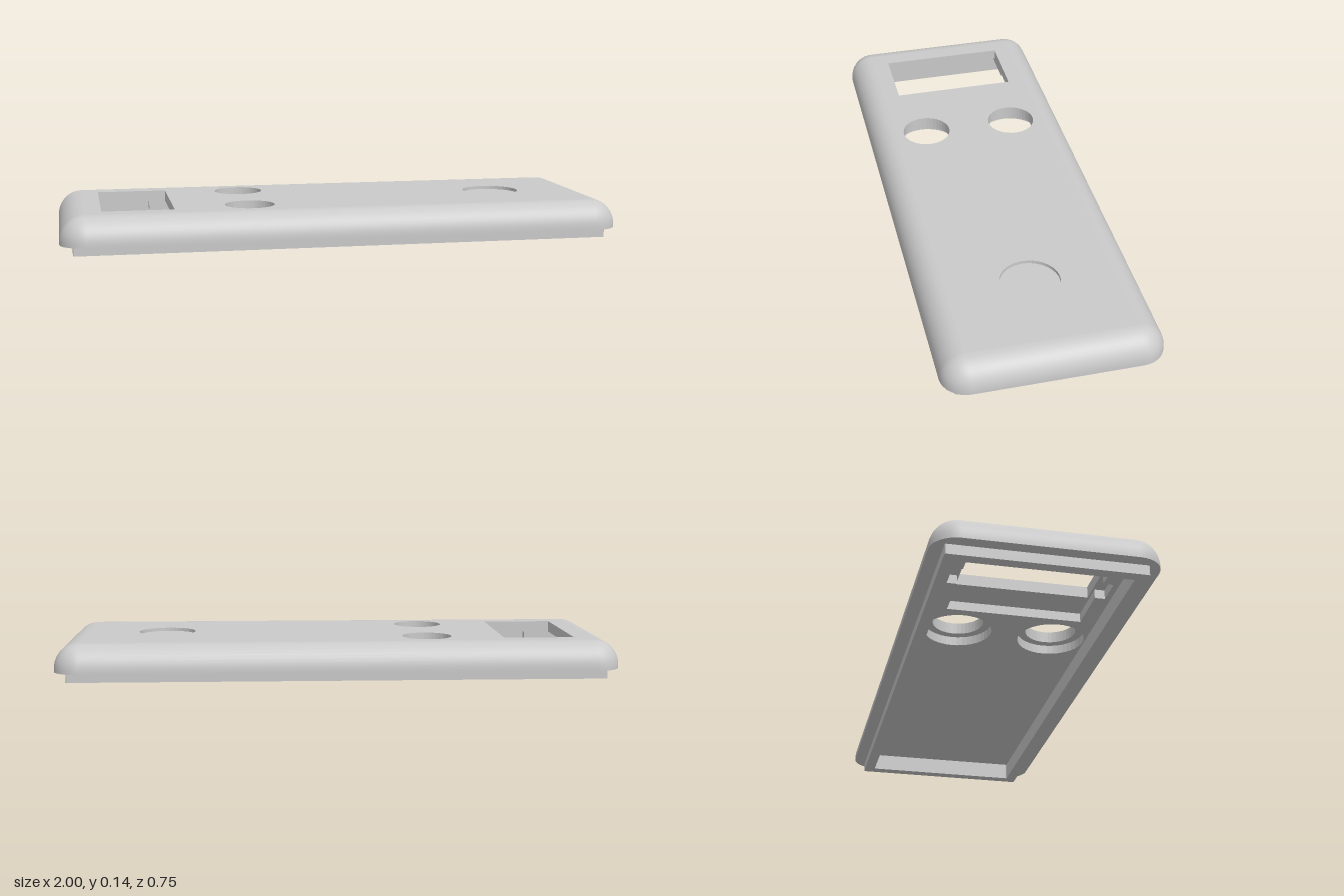
import * as THREE from 'three';

const X = 1, Z = 0.375, R = 0.09;          // half length, half width, edge radius
const RIM = 0.035, CEIL = 0.063, POCKET = 0.095, RECESS = 0.123, TOP = 0.135;

const v = (x, y) => new THREE.Vector2(x, y);

// Plan outlines: rounded rectangle, rectangle, circle
function rounded(hx, hz, r, n = 8) {
  const pts = [];
  [[1, 1], [-1, 1], [-1, -1], [1, -1]].forEach(([sx, sz], q) => {
    for (let i = 0; i <= n; i++) {
      const a = (q + i / n) * Math.PI / 2;
      pts.push(v(sx * (hx - r) + r * Math.cos(a), sz * (hz - r) + r * Math.sin(a)));
    }
  });
  return pts;
}
const rect = (x0, x1, hz) => [v(x0, -hz), v(x1, -hz), v(x1, hz), v(x0, hz)];
function circle(x, z, r, n = 40) {
  return Array.from({ length: n }, (_, i) => {
    const a = i / n * Math.PI * 2;
    return v(x + r * Math.cos(a), z + r * Math.sin(a));
  });
}

// Flat face with holes, looking up or down
function face(pts, holes, y, up) {
  const s = new THREE.Shape(pts);
  holes.forEach(h => s.holes.push(new THREE.Path(h)));
  const g = new THREE.ShapeGeometry(s);
  g.rotateX(up ? -Math.PI / 2 : Math.PI / 2);
  return g.translate(0, y, 0);
}

// Skin lofted through rings of points, each ring at its own height
function loft(rings, closedSmooth) {
  const pos = [], index = [], n = rings[0].pts.length;
  rings.forEach(({ pts, y }) => pts.forEach(p => pos.push(p.x, y, p.y)));
  for (let j = 0; j < rings.length - 1; j++) {
    for (let i = 0; i < n; i++) {
      const a = j * n + i, b = j * n + (i + 1) % n;
      index.push(a, a + n, b, b, a + n, b + n);
    }
  }
  let g = new THREE.BufferGeometry();
  g.setAttribute('position', new THREE.Float32BufferAttribute(pos, 3));
  g.setIndex(index);
  if (!closedSmooth) g = g.toNonIndexed();
  g.computeVertexNormals();
  return g;
}

// Upright wall facing outwards, or inwards for the side of an opening
function wall(pts, y0, y1, inward) {
  const low = { pts, y: y0 }, high = { pts, y: y1 };
  return loft(inward ? [high, low] : [low, high], false);
}

export function createModel() {
  const model = new THREE.Group();
  const grey = new THREE.MeshStandardMaterial({ color: 0xcacaca, side: THREE.DoubleSide });
  grey.name = 'grey plastic';
  const add = (name, geometry) => {
    const m = new THREE.Mesh(geometry, grey);
    m.name = name;
    model.add(m);
  };

  // Rounded outer skin
  const rings = [{ pts: rounded(X, Z, R), y: RIM }];
  for (let i = 0; i <= 10; i++) {
    const a = i / 10 * Math.PI / 2, inset = (R - 0.005) * (1 - Math.cos(a));
    rings.push({ pts: rounded(X - inset, Z - inset, R - inset), y: TOP - R + R * Math.sin(a) });
  }
  add('roundedSkin', loft(rings, true));

  // Openings through the top and the wider pockets beneath them
  const window = rect(-0.853, -0.6, 0.228);
  const holes = [0.168, -0.168].map(z => circle(-0.327, z, 0.089));
  const bores = [0.168, -0.168].map(z => circle(-0.327, z, 0.118));
  const pocket = [v(-0.905, -0.235), v(-0.76, -0.235), v(-0.76, -0.27), v(-0.66, -0.27),
    v(-0.66, -0.235), v(-0.48, -0.235), v(-0.48, 0.235), v(-0.66, 0.235),
    v(-0.66, 0.27), v(-0.76, 0.27), v(-0.76, 0.235), v(-0.905, 0.235)];
  const recess = circle(0.622, 0, 0.104);

  // Top face with the shallow round recess
  add('topFace', face(rounded(X - 0.085, Z - 0.085, 0.005), [window, ...holes, recess], TOP, true));
  add('recessFloor', face(recess, [], RECESS, true));
  add('recessWall', wall(recess, RECESS, TOP, true));

  // Window with its notched pocket
  add('windowWall', wall(window, POCKET, TOP, true));
  add('pocketFace', face(pocket, [window], POCKET, false));
  add('pocketWall', wall(pocket, CEIL, POCKET, true));

  // Round holes with wider bores
  holes.forEach((hole, i) => {
    add('holeWall', wall(hole, POCKET, TOP, true));
    add('boreFace', face(bores[i], [hole], POCKET, false));
    add('boreWall', wall(bores[i], CEIL, POCKET, true));
  });

  // Underside: rim, fitting lip and inner face
  const lipOuter = rounded(0.955, 0.33, 0.005), lipInner = rounded(0.915, 0.29, 0.005);
  add('rimUnderside', face(rounded(X, Z, R), [lipOuter], RIM, false));
  add('lipOuterWall', wall(lipOuter, 0, RIM, false));
  add('lipUnderside', face(lipOuter, [lipInner], 0, false));
  add('lipInnerWall', wall(lipInner, 0, CEIL, true));
  add('innerFace', face(lipInner, [pocket, ...bores], CEIL, false));

  return model;
}
